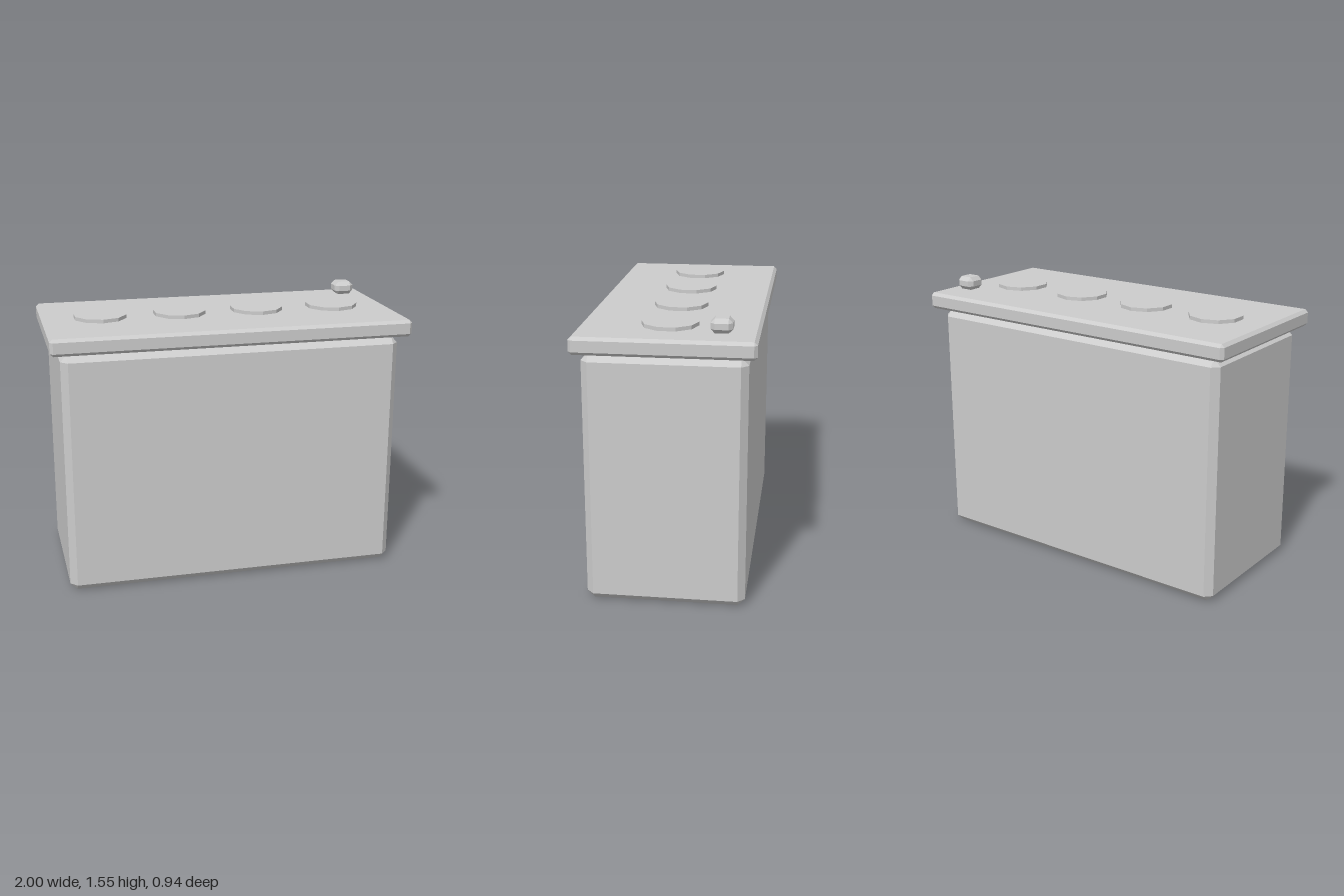
import * as THREE from 'three';
import { ConvexGeometry } from 'three/addons/geometries/ConvexGeometry.js';

// Box with flat chamfers on every edge and corner
function chamferBox(w, h, d, c) {
  const half = [w / 2, h / 2, d / 2];
  const points = [];
  for (const sx of [-1, 1]) for (const sy of [-1, 1]) for (const sz of [-1, 1]) {
    for (let axis = 0; axis < 3; axis++) {
      const p = half.map((s, i) => (i === axis ? s : s - c));
      points.push(new THREE.Vector3(sx * p[0], sy * p[1], sz * p[2]));
    }
  }
  return new ConvexGeometry(points);
}

export function createModel() {
  const model = new THREE.Group();
  model.name = 'batteryBox';
  const grey = new THREE.MeshStandardMaterial({ color: 0xcccccc });
  grey.name = 'light grey';
  grey.flatShading = true;

  const add = (name, geometry, x, y, z) => {
    const mesh = new THREE.Mesh(geometry, grey);
    mesh.name = name;
    mesh.position.set(x, y, z);
    model.add(mesh);
  };

  // Main case, with a narrow gap below the lid
  add('case', chamferBox(1.888, 1.362, 0.85, 0.038), 0, 0.681, 0);

  // Overhanging lid
  add('lid', chamferBox(2, 0.094, 0.94, 0.017), 0, 1.418, 0);

  // Row of ten-sided caps
  for (let i = 0; i < 4; i++) {
    add(`cap${i + 1}`, new THREE.CylinderGeometry(0.15, 0.15, 0.03, 10), (i - 1.5) * 0.452, 1.47, 0);
  }

  // Small knob above the back left corner
  add('knob', chamferBox(0.113, 0.075, 0.113, 0.022), 0.846, 1.515, -0.284);

  return model;
}
